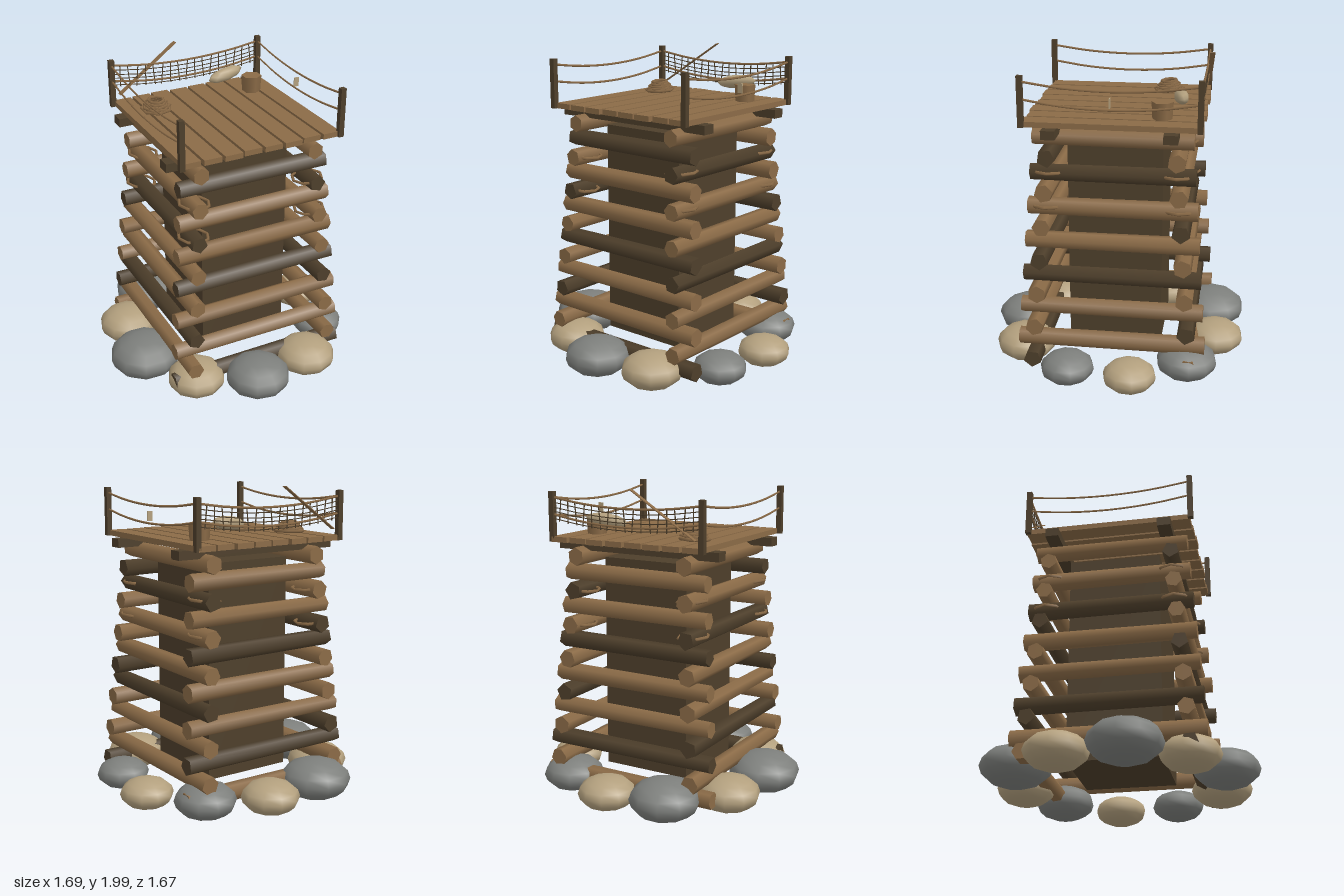
import * as THREE from 'three';

export function createModel() {
  const model = new THREE.Group();
  model.name = 'logTower';
  const mat = (name, color) => {
    const m = new THREE.MeshStandardMaterial({ color });
    m.name = name;
    return m;
  };
  const wood = mat('wood', 0x8b6b47);
  const darkWood = mat('darkWood', 0x4e3f2b);
  const greyStone = mat('greyStone', 0x7d7f7c);
  const tanStone = mat('tanStone', 0xb3a07e);

  const CX = 0.02, CZ = -0.02; // axis of the tower
  const add = (name, geo, material, x, y, z, parent = model) => {
    const m = new THREE.Mesh(geo, material);
    m.name = name;
    m.position.set(x, y, z);
    parent.add(m);
    return m;
  };
  const box = (name, w, h, d, material, x, y, z) =>
    add(name, new THREE.BoxGeometry(w, h, d), material, x, y, z);

  // Inner core
  box('core', 0.59, 1.37, 0.59, darkWood, CX, 0.855, CZ);

  // Crossed log courses, tapering upwards; every third log is dark
  for (let i = 0; i < 14; i++) {
    const y = 0.15 + 0.1085 * i;
    const spread = 0.49 - 0.0081 * i;
    const length = 2 * (0.595 - 0.0082 * i);
    const alongX = i % 2 === 0;
    const course = i >> 1;
    for (const s of [1, -1]) {
      const dark = s > 0 ? course % 3 === (alongX ? 0 : 2) : course % 3 === 1;
      const geo = new THREE.CylinderGeometry(0.054, 0.058, length, dark ? 5 : 6);
      geo.rotateY(0.4 * i + s);
      if (alongX) geo.rotateZ(Math.PI / 2);
      else geo.rotateX(Math.PI / 2);
      add(alongX ? 'crossLog' : 'sideLog', geo, dark ? darkWood : wood,
        alongX ? CX : CX + s * spread, y, alongX ? CZ + s * spread : CZ);
    }
  }

  // Rope lashings at the upper corners
  for (const [y, r] of [[1.13, 0.405], [1.345, 0.39]]) {
    for (const sx of [1, -1]) for (const sz of [1, -1]) {
      const geo = new THREE.TorusGeometry(0.095, 0.01, 4, 8).rotateX(Math.PI / 2);
      add('lashing', geo, wood, CX + sx * r, y, CZ + sz * r).rotation.z = 0.08 * sx;
    }
  }

  // Deck: two joists and eight planks
  for (const z of [0.342, -0.378]) box('joist', 1.14, 0.055, 0.085, darkWood, CX, 1.618, z);
  for (let i = 0; i < 8; i++) {
    box('deckPlank', 0.115, 0.034, 1.07 + 0.012 * (i % 3 - 1), wood, -0.44 + 0.1325 * i, 1.667, -0.027);
  }

  // Corner posts
  const X0 = -0.508, X1 = 0.545, Z0 = -0.545, Z1 = 0.508;
  for (const x of [X0, X1]) for (const z of [Z0, Z1]) {
    box('cornerPost', 0.034, 0.31, 0.034, darkWood, x, 1.805, z);
  }

  // Sagging ropes: point at fraction t between two posts
  const sagPoint = (a, b, y, sag, t) => new THREE.Vector3(
    a[0] + (b[0] - a[0]) * t, y - sag * 4 * t * (1 - t), a[1] + (b[1] - a[1]) * t);
  const rope = (name, a, b, y, sag, r, material) => {
    const pts = [0, 0.2, 0.4, 0.6, 0.8, 1].map(t => sagPoint(a, b, y, sag, t));
    add(name, new THREE.TubeGeometry(new THREE.CatmullRomCurve3(pts), 12, r, 4), material, 0, 0, 0);
  };
  const sides = [[[X0, Z0], [X0, Z1]], [[X1, Z0], [X1, Z1]], [[X0, Z0], [X1, Z0]]];
  for (const [a, b] of sides) {
    rope('upperRope', a, b, 1.925, 0.045, 0.007, wood);
    rope('lowerRope', a, b, 1.82, 0.05, 0.007, wood);
  }

  // Net along the back
  const back = sides[2];
  for (const drop of [0.03, 0.06, 0.085, 0.13]) {
    rope('netRow', ...back, 1.925 - drop, 0.045, 0.003, darkWood);
  }
  for (let i = 1; i < 18; i++) {
    const p = sagPoint(...back, 1.925, 0.045, i / 18);
    box('netStrand', 0.005, 0.14, 0.005, darkWood, p.x, p.y - 0.07, p.z).rotation.z = 0.1 * (i % 3 - 1);
  }

  // Leaning plank at the back, and a tag hung on the left rope
  const plank = box('leaningPlank', 0.5, 0.005, 0.032, wood, -0.255, 1.862, -0.56);
  plank.rotation.set(0, 0.09, 0.59);
  box('hangingTag', 0.034, 0.06, 0.006, tanStone, X1, 1.815, CZ);

  // Coiled rope on the deck
  const coil = new THREE.Group();
  coil.name = 'ropeCoil';
  coil.position.set(-0.315, 1.69, -0.29);
  model.add(coil);
  for (let i = 0; i < 5; i++) {
    const geo = new THREE.TorusGeometry(0.093 - 0.011 * i, 0.011, 4, 7).rotateX(Math.PI / 2);
    add('coilLoop', geo, wood, 0, 0.008 + 0.013 * i, 0, coil).rotation.set(0.05, i * 0.5, 0.04);
  }

  // Bucket and folded bundle
  add('bucket', new THREE.CylinderGeometry(0.066, 0.06, 0.105, 6), wood, 0.376, 1.738, -0.31);
  const bundle = add('bundle', new THREE.SphereGeometry(1, 8, 6), tanStone, 0.235, 1.787, -0.41);
  bundle.scale.set(0.137, 0.043, 0.044);
  bundle.rotation.set(0.3, 0.22, 0.05);

  // Ring of boulders: x, z, radius, alternating grey and tan
  const boulders = [
    [-0.3, -0.615, 0.22], [0.095, -0.66, 0.18], [0.465, -0.495, 0.19], [0.675, -0.155, 0.165],
    [0.62, 0.245, 0.167], [0.34, 0.565, 0.19], [-0.055, 0.63, 0.204], [-0.41, 0.455, 0.183],
    [-0.622, 0.11, 0.225], [-0.575, -0.3, 0.193],
  ];
  boulders.forEach(([x, z, r], i) => {
    const b = add('boulder', new THREE.SphereGeometry(1, 10, 8), i % 2 ? tanStone : greyStone,
      x, 0.02 + r * 0.58, z);
    b.scale.set(r * 1.02, r * 0.59, r * 1.02);
    b.rotation.y = i * 0.7;
  });

  return model;
}
